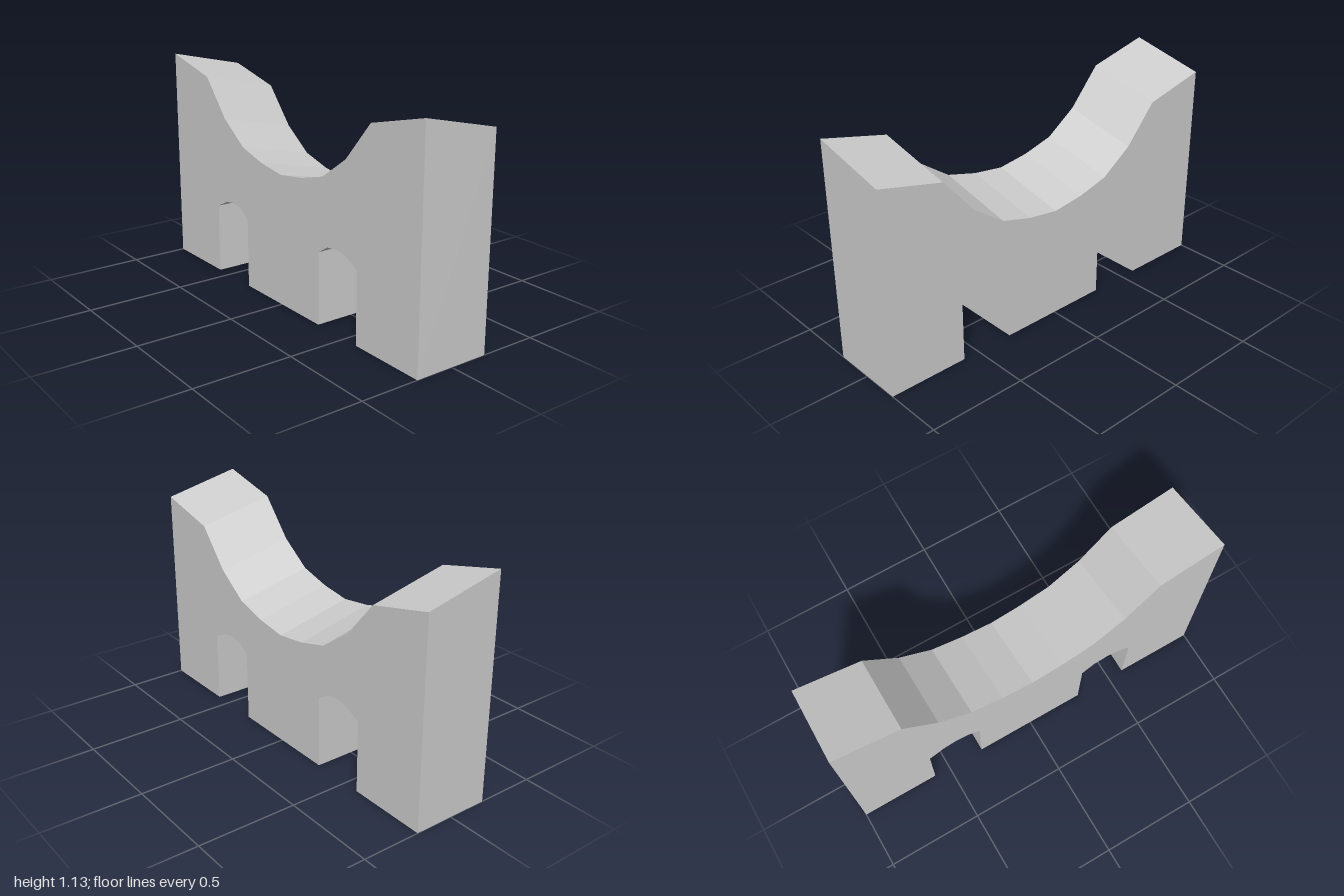
import * as THREE from 'three';

const HALF_WIDTH = 0.2;
const TOP_RISE = 0.09; // the top surface is higher on the -x side

export function createModel() {
  const group = new THREE.Group();
  group.name = 'archedBlock';

  // Half outlines as [z, y], both running from the outer end inwards
  const saddle = [[1, 1.04], [0.667, 0.96], [0.5, 0.767], [0.333, 0.65], [0.167, 0.605]];
  const arch = [[0.587, 0], [0.587, 0.367], [0.505, 0.408], [0.445, 0.42], [0.37, 0.41], [0.303, 0.367], [0.303, 0]];
  const mirror = (points) => points.map(([z, y]) => [-z, y]).reverse();

  // Full side outline: base with two arches, then the sagging top
  const outline = [
    [-1, 0], ...mirror(arch).reverse(), ...mirror(mirror(arch)).reverse(), [1, 0],
    ...saddle, [0, 0.582], ...mirror(saddle),
  ];
  const shape = new THREE.Shape(outline.map(([z, y]) => new THREE.Vector2(z, y)));

  const geometry = new THREE.ExtrudeGeometry(shape, { depth: 2 * HALF_WIDTH, bevelEnabled: false });
  geometry.rotateY(-Math.PI / 2).translate(HALF_WIDTH, 0, 0);

  // Tilt the top across the width
  const pos = geometry.attributes.position;
  for (let i = 0; i < pos.count; i++) {
    if (pos.getY(i) > 0.5 && pos.getX(i) < 0) pos.setY(i, pos.getY(i) + TOP_RISE);
  }
  geometry.computeVertexNormals();

  const wall = new THREE.Mesh(geometry, new THREE.MeshStandardMaterial({ color: 0xcccccc, flatShading: true }));
  wall.name = 'archedWall';
  group.add(wall);
  return group;
}
